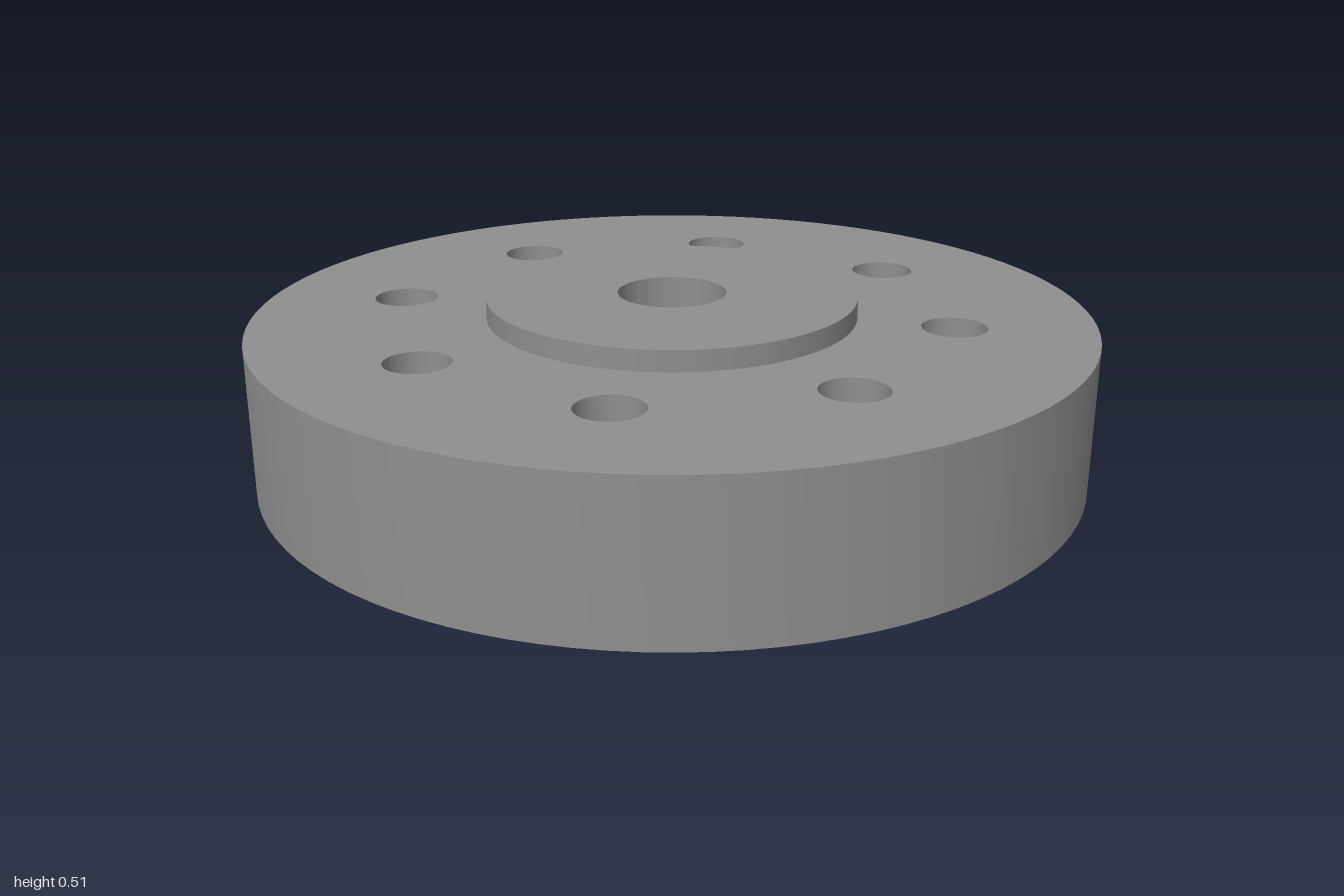
import * as THREE from 'three';
import { toCreasedNormals } from 'three/addons/utils/BufferGeometryUtils.js';

const material = new THREE.MeshStandardMaterial({ color: 0x8f8f8f });

const BOLTS = 8, BOLT_CIRCLE = 0.67, BOLT_R = 0.077, BOSS_R = 0.204;
const RIM_R = 1, RIM_INNER = 0.86, HUB_R = 0.443;
const RIM_BOTTOM = 0.105, WEB_BOTTOM = 0.32, WEB_TOP = 0.465, HUB_TOP = 0.515;

const boltCentres = Array.from({ length: BOLTS }, (_, i) => {
  const a = (i / BOLTS) * Math.PI * 2;
  return new THREE.Vector2(Math.cos(a) * BOLT_CIRCLE, Math.sin(a) * BOLT_CIRCLE);
});

function mesh(name, geometry) {
  const m = new THREE.Mesh(geometry, material);
  m.name = name;
  return m;
}

// Revolved part with crisp corners; profile runs counter-clockwise in (radius, y)
function turned(name, profile, segments) {
  const points = profile.map(([r, y]) => new THREE.Vector2(r, y));
  return mesh(name, toCreasedNormals(new THREE.LatheGeometry(points, segments), 0.6));
}

function circlePoints(cx, cy, r, n) {
  return Array.from({ length: n }, (_, i) => {
    const a = (i / n) * Math.PI * 2;
    return new THREE.Vector2(cx + r * Math.cos(a), cy + r * Math.sin(a));
  });
}

// Flat ring around the hub, pierced by the bolt holes
function webFace(name, radius, y, facesUp) {
  const shape = new THREE.Shape(circlePoints(0, 0, radius, 96));
  shape.holes.push(new THREE.Path(circlePoints(0, 0, HUB_R, 96)));
  for (const c of boltCentres) {
    shape.holes.push(new THREE.Path(circlePoints(c.x, c.y, BOLT_R, 40)));
  }
  const geometry = new THREE.ShapeGeometry(shape);
  geometry.rotateX(facesUp ? -Math.PI / 2 : Math.PI / 2);
  geometry.translate(0, y, 0);
  return mesh(name, geometry);
}

export function createModel() {
  const group = new THREE.Group();
  group.name = 'flangedWheel';

  // Outer rim, open towards the web
  group.add(turned('rim', [
    [RIM_INNER, WEB_BOTTOM], [RIM_INNER, RIM_BOTTOM],
    [RIM_R, RIM_BOTTOM], [RIM_R, WEB_TOP],
  ], 96));

  // Web: top face and the floor of the pocket underneath
  group.add(webFace('webTop', RIM_R, WEB_TOP, true));
  group.add(webFace('webUnderside', RIM_INNER, WEB_BOTTOM, false));

  // Hub with a narrow bore on top and a wide counterbore below
  group.add(turned('hub', [
    [0.13, HUB_TOP], [0.13, 0.405], [0.257, 0.405], [0.257, 0],
    [HUB_R, 0], [HUB_R, HUB_TOP], [0.13, HUB_TOP],
  ], 96));

  // Bolt bosses, each with a through hole
  boltCentres.forEach((c, i) => {
    const boss = turned('boltBoss' + (i + 1), [
      [BOLT_R, WEB_TOP], [BOLT_R, RIM_BOTTOM],
      [BOSS_R, RIM_BOTTOM], [BOSS_R, WEB_BOTTOM],
    ], 40);
    boss.position.set(c.x, 0, c.y);
    group.add(boss);
  });

  return group;
}
